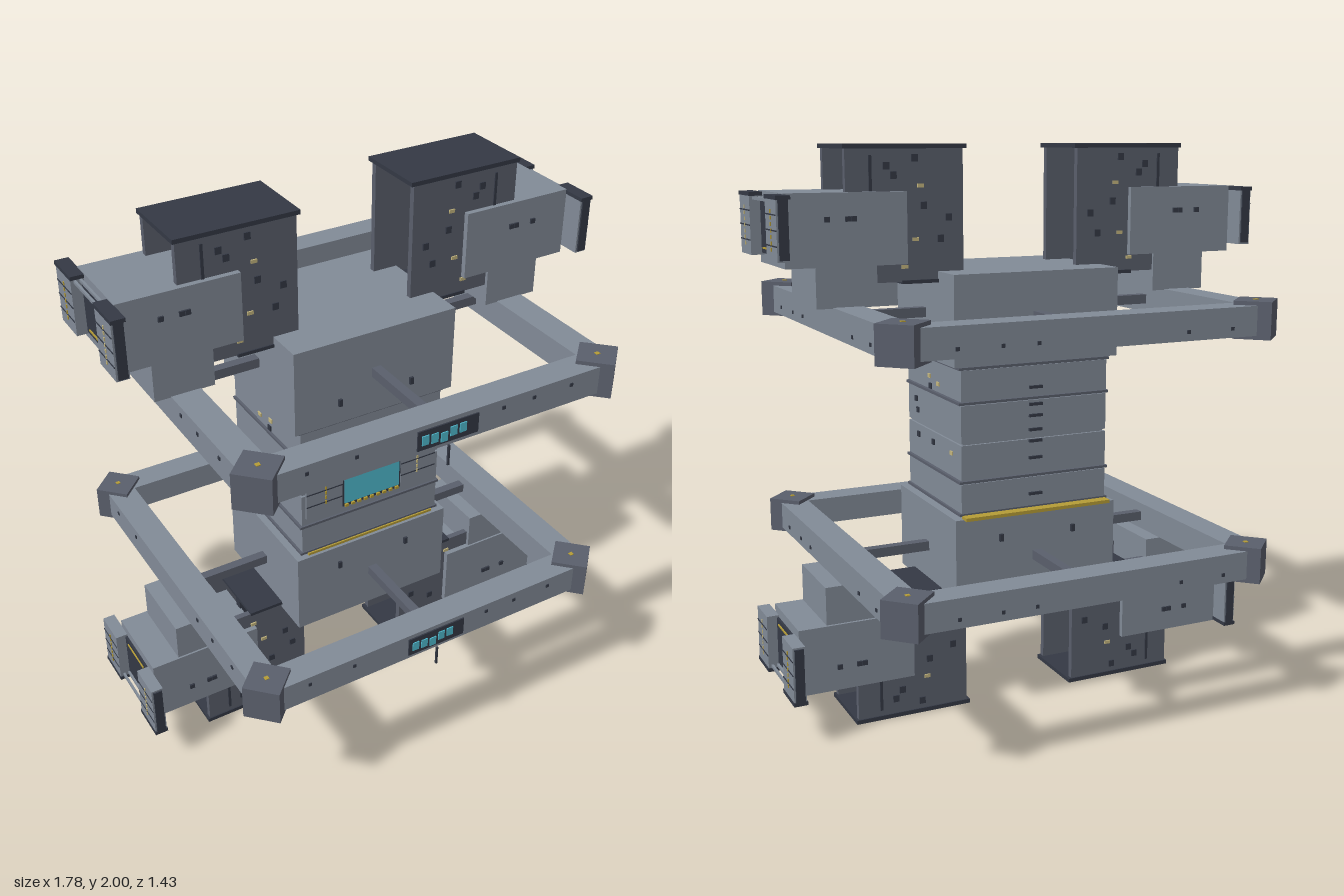
import * as THREE from 'three';

const mat = (name, color) => {
  const m = new THREE.MeshStandardMaterial({ color });
  m.name = name;
  return m;
};

export function createModel() {
  const hull = mat('hull grey', 0x828b97);
  const slate = mat('slate grey', 0x5a5f6c);
  const charcoal = mat('charcoal', 0x343945);
  const cyan = mat('screen cyan', 0x50bbd0);
  const yellow = mat('marking yellow', 0xb59c36);
  const pale = mat('pale fitting', 0xc4b67e);

  const station = new THREE.Group();
  station.name = 'station';

  const group = (name, parent = station) => {
    const g = new THREE.Group();
    g.name = name;
    parent.add(g);
    return g;
  };
  // Box given by its lower and upper limits on each axis
  const box = (parent, name, m, x0, x1, y0, y1, z0, z1) => {
    const mesh = new THREE.Mesh(new THREE.BoxGeometry(x1 - x0, y1 - y0, z1 - z0), m);
    mesh.name = name;
    mesh.position.set((x0 + x1) / 2, (y0 + y1) / 2, (z0 + z1) / 2);
    parent.add(mesh);
    return mesh;
  };
  // Box given by centre and size
  const block = (parent, name, m, x, y, z, w, h, d) =>
    box(parent, name, m, x - w / 2, x + w / 2, y - h / 2, y + h / 2, z - d / 2, z + d / 2);

  // Central body: stacked segments between two hubs
  const core = group('core');
  box(core, 'upperHub', hull, -0.31, 0.31, 1.27, 1.58, -0.265, 0.26);
  box(core, 'lowerHub', hull, -0.31, 0.31, 0.43, 0.74, -0.265, 0.26);
  box(core, 'coreNeck', hull, -0.272, 0.272, 0.74, 1.27, -0.238, 0.232);
  for (const [y0, y1] of [[0.757, 0.859], [0.873, 0.996], [1.004, 1.134], [1.148, 1.255]])
    box(core, 'coreSegment', hull, -0.28, 0.28, y0, y1, -0.247, 0.24);
  for (const y of [0.752, 0.866, 1.141, 1.261])
    block(core, 'segmentLip', slate, 0, y, -0.003, 0.576, 0.009, 0.495);
  box(core, 'frontYellowStrip', yellow, -0.26, 0.26, 0.741, 0.75, 0.2, 0.25);
  box(core, 'backYellowStrip', yellow, -0.28, 0.28, 0.739, 0.751, -0.288, -0.25);
  for (const y of [0.8, 0.93, 0.99, 1.03, 1.08, 1.12, 1.18])
    block(core, 'backHandle', charcoal, 0, y, -0.25, 0.05, 0.01, 0.012);
  for (const y of [1.35, 0.66])
    for (const x of [-0.14, 0.14])
      for (const z of [-0.268, 0.263])
        block(core, 'hubClamp', charcoal, x, y, z, 0.014, 0.026, 0.012);

  // Panelled port facing +z: a central screen between two grooved pads
  const grooves = (g, x0, x1, y0, y1, z) => {
    for (let i = 1; i <= 3; i++)
      box(g, 'padGroove', charcoal, x0, x1, y0 + (y1 - y0) * i / 4 - 0.002, y0 + (y1 - y0) * i / 4 + 0.002, z - 0.002, z + 0.002);
  };
  const mark = (g, m, x, y, z) => {
    for (let i = -3; i <= 3; i++) block(g, 'padMark', m, x, y + i * 0.02, z, 0.006, 0.013, 0.006);
  };

  // Front window of the core
  const windowPort = group('frontWindow');
  for (const s of [-1, 1]) {
    const [a, b] = s < 0 ? [-0.265, -0.12] : [0.12, 0.265];
    box(windowPort, 'windowPad', hull, a, b, 0.9, 1.1, 0.235, 0.247);
    grooves(windowPort, a, b, 0.9, 1.1, 0.247);
    mark(windowPort, s < 0 ? yellow : pale, s * 0.188, 1.01, 0.248);
  }
  box(windowPort, 'windowFrame', charcoal, -0.12, 0.12, 0.9, 1.1, 0.235, 0.245);
  box(windowPort, 'windowScreen', cyan, -0.112, 0.112, 0.915, 1.086, 0.245, 0.25);
  for (let i = -4; i <= 4; i++)
    block(windowPort, 'windowSillMark', yellow, i * 0.026, 0.905, 0.248, 0.014, 0.01, 0.008);

  // Square truss ring with corner blocks, spokes, status panel and antenna
  const ring = (name, y) => {
    const g = group(name);
    const c = 0.632, zc = -0.004;
    for (const s of [-1, 1]) {
      block(g, 'ringCrossBeam', hull, 0, y, zc + s * c, 1.26, 0.1, 0.104);
      block(g, 'ringSideBeam', hull, s * c, y, zc, 0.104, 0.0995, 1.26);
      block(g, 'spoke', slate, 0, y, zc + s * 0.42, 0.034, 0.034, 0.36);
      block(g, 'spoke', slate, s * 0.44, y, 0, 0.32, 0.034, 0.034);
      for (const t of [-1, 1]) {
        const corner = block(g, 'ringCorner', slate, s * 0.63, y, zc + t * 0.627, 0.127, 0.127, 0.127);
        corner.rotation.y = Math.PI / 4;
        block(g, 'cornerLamp', yellow, s * 0.63, y + 0.064, zc + t * 0.627, 0.015, 0.004, 0.015);
      }
      // Small fittings along the beams
      for (const u of [-0.5, -0.33, 0.21, 0.33, 0.48]) {
        block(g, 'beamFitting', charcoal, u, y + 0.02 * s, zc + s * 0.685, 0.012, 0.012, 0.005);
        block(g, 'beamFitting', charcoal, s * 0.685, y - 0.02 * s, u, 0.005, 0.012, 0.012);
      }
    }
    box(g, 'statusPanel', charcoal, -0.115, 0.112, y - 0.035, y + 0.035, 0.678, 0.685);
    [0, -0.003, -0.01, 0.002, 0.003].forEach((dy, i) =>
      block(g, 'statusLight', cyan, -0.088 + i * 0.035, y + dy, 0.686, 0.025, 0.034, 0.005));
    block(g, 'antenna', charcoal, 0, y - 0.083, 0.688, 0.007, 0.075, 0.007);
  };
  ring('upperRing', 1.428);
  ring('lowerRing', 0.58);

  // One corner module; sx and sy mirror it sideways and up or down
  const module = (name, sx, sy) => {
    const g = group(name);
    const part = (label, m, x0, x1, y0, y1, z0, z1) => {
      const xs = [sx * x0, sx * x1].sort((a, b) => a - b);
      const ys = [1 + sy * (y0 - 1), 1 + sy * (y1 - 1)].sort((a, b) => a - b);
      return box(g, label, m, ...xs, ...ys, z0, z1);
    };
    // Open bay with front and back walls
    part('baySlab', charcoal, 0.205, 0.638, 1.985, 2.0, -0.136, 0.13);
    part('bayFloor', charcoal, 0.21, 0.44, 1.543, 1.555, -0.136, 0.13);
    part('bayPost', charcoal, 0.4, 0.43, 1.55, 1.985, -0.015, 0.015);
    for (const [z0, z1, zf] of [[0.103, 0.125, 0.126], [-0.131, -0.109, -0.132]]) {
      part('bayWall', slate, 0.217, 0.63, 1.55, 1.985, z0, z1);
      part('wallStrip', charcoal, 0.54, 0.55, 1.6, 1.965, zf - 0.003, zf + 0.003);
      [[0.49, 1.93], [0.465, 1.9], [0.39, 1.955], [0.36, 1.8], [0.3, 1.69], [0.27, 1.76]].forEach(([x, y]) =>
        part('wallFitting', charcoal, x - 0.011, x + 0.011, y - 0.012, y + 0.012, zf - 0.004, zf + 0.004));
      [[0.37, 1.865], [0.43, 1.6], [0.39, 1.69]].forEach(([x, y]) =>
        part('wallTag', pale, x - 0.011, x + 0.011, y - 0.006, y + 0.006, zf - 0.004, zf + 0.004));
    }
    // Pedestal on the ring and the docking box
    part('pedestal', hull, 0.53, 0.74, 1.475, 1.62, -0.14, 0.138);
    part('dockBox', hull, 0.425, 0.842, 1.61, 1.848, -0.15, 0.145);
    for (const z of [-0.152, 0.147])
      for (const x of [0.61, 0.63, 0.7])
        part('dockFitting', charcoal, x - 0.009, x + 0.009, 1.755, 1.772, z - 0.005, z + 0.005);
    // Port on the outer end
    part('portScreen', charcoal, 0.842, 0.85, 1.645, 1.815, -0.097, 0.097);
    part('portRail', hull, 0.848, 0.856, 1.82, 1.83, -0.1, 0.1);
    part('portRail', hull, 0.868, 0.876, 1.82, 1.83, -0.1, 0.1);
    part('portSill', yellow, 0.846, 0.854, 1.66, 1.666, -0.07, 0.07);
    for (const s of [-1, 1]) {
      const z = (a, b) => (s < 0 ? [-b, -a] : [a, b]);
      part('portPad', hull, 0.842, 0.886, 1.638, 1.832, ...z(0.098, 0.224));
      part('padCap', charcoal, 0.84, 0.888, 1.832, 1.845, ...z(0.094, 0.23));
      part('padEnd', charcoal, 0.848, 0.88, 1.644, 1.832, ...z(0.223, 0.23));
      for (let i = 1; i <= 3; i++) {
        const y = 1.638 + i * 0.049;
        part('padGroove', charcoal, 0.885, 0.888, y - 0.002, y + 0.002, ...z(0.1, 0.223));
      }
      for (let i = -3; i <= 3; i++) {
        const y = 1.735 + i * 0.02;
        part('padMark', s < 0 ? yellow : pale, 0.884, 0.889, y - 0.006, y + 0.006, ...z(0.159, 0.165));
      }
    }
  };
  for (const sx of [-1, 1])
    for (const sy of [-1, 1])
      module(`${sy > 0 ? 'upper' : 'lower'}${sx > 0 ? 'Left' : 'Right'}Module`, sx, sy);

  // Scattered fittings on the core flanks
  const fittings = group('coreFittings');
  for (const s of [-1, 1]) {
    for (const [z, y] of [[0.02, 1.16], [0.16, 1.09], [0.145, 1.05], [0.0, 0.96], [0.14, 0.96]])
      block(fittings, 'flankFitting', charcoal, s * 0.281, y, z, 0.008, 0.02, 0.02);
    for (const [z, y] of [[0.03, 1.195], [-0.05, 1.178], [-0.165, 0.955]])
      block(fittings, 'flankTag', pale, s * 0.281, y, z, 0.008, 0.014, 0.022);
  }
  return station;
}
